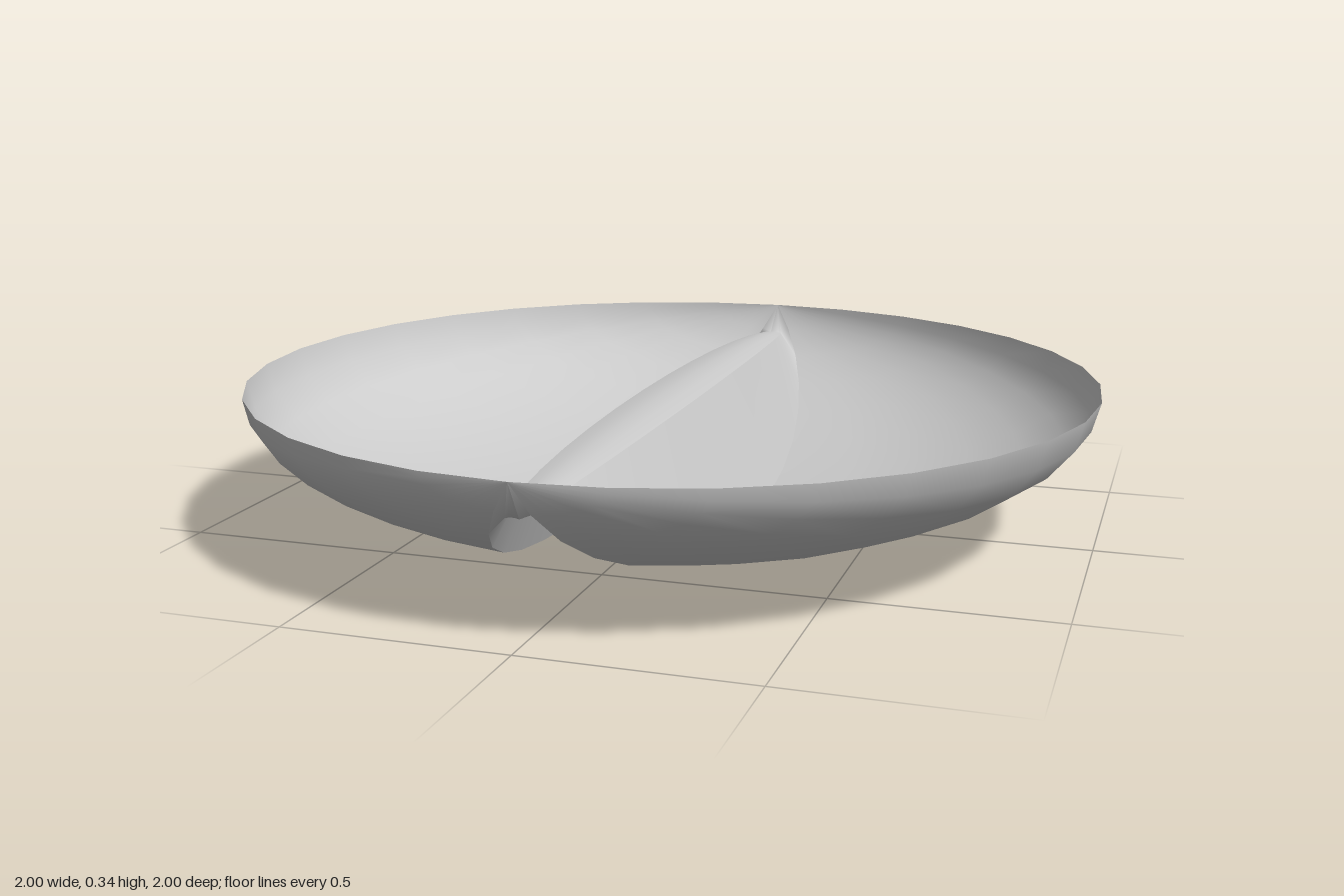
import * as THREE from 'three';
import { ParametricGeometry } from 'three/addons/geometries/ParametricGeometry.js';

const DEPTH = 0.35;
const STEP = Math.PI / 16;
const material = new THREE.MeshStandardMaterial({ color: 0xcccccc, side: THREE.DoubleSide });

// Point on the shallow bowl: phi runs across it, theta from the front to the back
function bowlPoint(phi, theta, target) {
  const s = Math.sin(theta);
  return target.set(s * Math.sin(phi), DEPTH - DEPTH * s * Math.cos(phi), Math.cos(theta));
}

// Point on the raised crest: t runs from -1 to 1 across the strip
function crestPoint(t, theta, target) {
  const s = Math.sin(theta);
  const arch = 0.012 * s * (1 - t * t);
  const y = s < 0.1 ? DEPTH : 0.265 + 0.04 * s + arch;
  return target.set(0.075 * s * t, y, Math.cos(theta));
}

function surface(name, fn, across, along) {
  const geometry = new ParametricGeometry(fn, across, along);
  geometry.computeVertexNormals();
  const mesh = new THREE.Mesh(geometry, material);
  mesh.name = name;
  return mesh;
}

export function createModel() {
  const group = new THREE.Group();
  group.name = 'foldedBowl';
  const outer = new THREE.Vector3();
  const inner = new THREE.Vector3();

  for (const side of [-1, 1]) {
    const label = side > 0 ? 'left' : 'right';
    const start = side > 0 ? STEP : -Math.PI / 2;

    // Curved half of the bowl
    group.add(surface(label + 'BowlHalf', (u, v, p) =>
      bowlPoint(start + u * 7 * STEP, v * Math.PI, p), 7, 16));

    // Steep wall from the bowl's inner edge up to the crest
    group.add(surface(label + 'RidgeWall', (u, v, p) => {
      const theta = v * Math.PI;
      bowlPoint(side * STEP, theta, outer);
      crestPoint(side, theta, inner);
      p.lerpVectors(inner, outer, side > 0 ? u : 1 - u);
    }, 1, 16));
  }

  // Rounded strip along the top of the ridge
  group.add(surface('ridgeCrest', (u, v, p) => crestPoint(2 * u - 1, v * Math.PI, p), 4, 16));
  return group;
}
